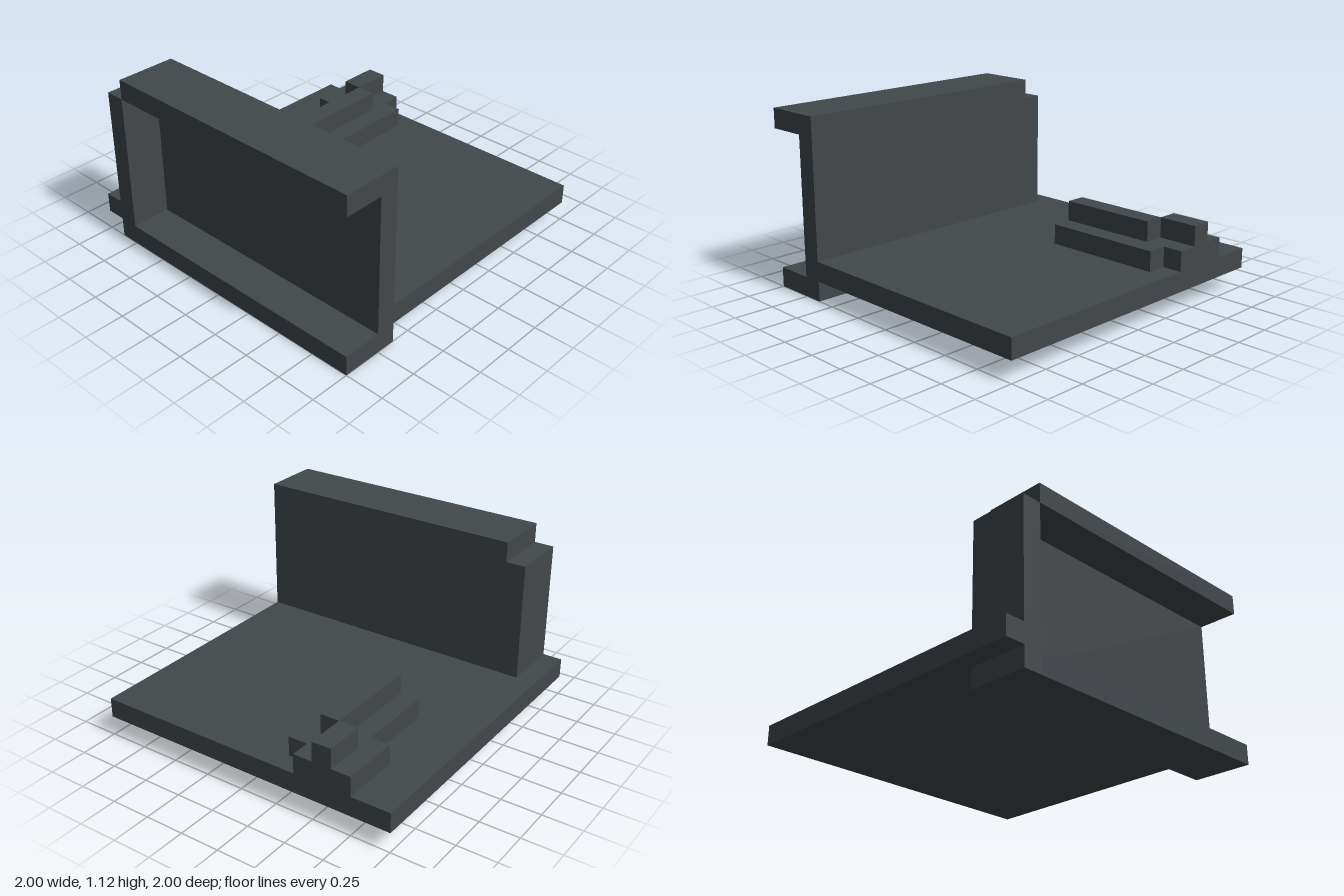
import * as THREE from 'three';

export function createModel() {
  const group = new THREE.Group();
  const slate = new THREE.MeshStandardMaterial({ color: 0x42474b });
  slate.name = 'slateGrey';

  // Box given by its minimum and maximum corners
  const block = (name, [x0, y0, z0], [x1, y1, z1]) => {
    const mesh = new THREE.Mesh(new THREE.BoxGeometry(x1 - x0, y1 - y0, z1 - z0), slate);
    mesh.name = name;
    mesh.position.set((x0 + x1) / 2, (y0 + y1) / 2, (z0 + z1) / 2);
    group.add(mesh);
  };

  // Base plate with a narrow tab running past the end of the wall
  block('basePlate', [-1, 0.125, -1], [1, 0.25, 0.625]);
  block('baseTab', [-1, 0.125, 0.625], [-0.875, 0.25, 1]);

  // Upright tray: back panel, flanges and one closed end
  block('backPanel', [-0.75, 0.125, 0.625], [1, 1, 0.75]);
  block('topFlange', [-0.75, 1, 0.625], [1, 1.125, 1]);
  block('bottomFlange', [-0.75, 0, 0.625], [1, 0.125, 1]);
  block('endWall', [-0.875, 0, 0.625], [-0.75, 1, 1]);

  // Stepped ridge on the plate: lower tier
  block('ridgeOuterStep', [-0.75, 0.25, -1], [-0.625, 0.375, -0.625]);
  block('ridgeBase', [-0.625, 0.25, -1], [-0.375, 0.375, -0.125]);
  block('ridgeInnerStep', [-0.375, 0.25, -0.875], [-0.25, 0.375, -0.125]);

  // Upper tier, offset at the back
  block('ridgeTop', [-0.5, 0.375, -0.75], [-0.375, 0.5, -0.125]);
  block('ridgeTopBack', [-0.625, 0.375, -1], [-0.5, 0.5, -0.75]);

  return group;
}
